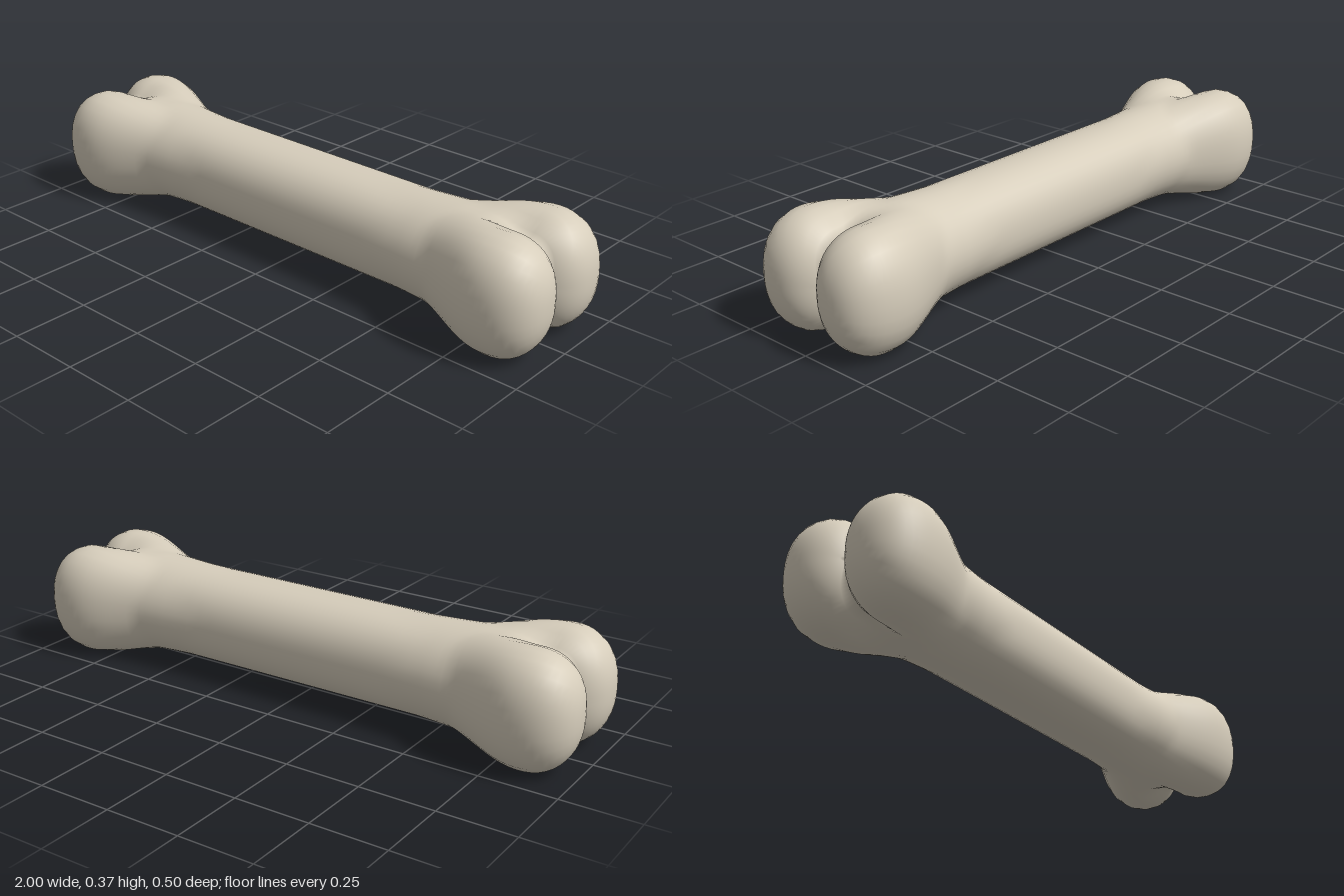
import * as THREE from 'three';
import { mergeVertices } from 'three/addons/utils/BufferGeometryUtils.js';

const END = 0.84;      // x of the knuckle centres
const MID_Y = 0.188;   // height of the bone's axis
const TIP = 0.16;      // how far the knuckles bulge past END
const SIDES = 40;

const { smoothstep, lerp } = THREE.MathUtils;

// True when a point (relative to the axis) lies in the shaft or one of the paired knuckles.
function inside(x, y, z) {
  const ax = Math.min(x, END), over = Math.max(0, x - END);

  // shaft: slim in the middle, fading out between the knuckles
  const flare = Math.min(1, (ax / 0.63) ** 2), fade = smoothstep(ax, 0.72, 0.9);
  const sy = lerp(0.15 + 0.02 * flare, 0.11, fade);
  const sz = lerp(0.145 + 0.033 * flare, 0.08, fade);
  if ((over / 0.08) ** 2 + (y / sy) ** 2 + (z / sz) ** 2 < 1) return true;

  // knuckles: spread apart and swell towards the end
  const t = smoothstep(ax, 0.52, END), n = 2.3;
  const c = 0.117 * t, w = lerp(0.155, 0.133, t), h = lerp(0.155, 0.188, t);
  return (over / TIP) ** n + (Math.abs(y) / h) ** n + (Math.abs(Math.abs(z) - c) / w) ** n < 1;
}

// Distance from an axis point to the surface along a direction.
function reach(x, d) {
  let lo = 0, hi = 0.4;
  for (let i = 0; i < 24; i++) {
    const r = (lo + hi) / 2;
    if (inside(x + d.x * r, d.y * r, d.z * r)) lo = r; else hi = r;
  }
  return lo;
}

function boneGeometry() {
  // stations of one half: straight rings along the shaft, then a fan of rings over the end
  const half = [];
  for (let i = 0; i <= 10; i++) half.push({ x: 0.5 * i / 10, tilt: 0 });
  for (let i = 1; i <= 14; i++) half.push({ x: lerp(0.5, END, i / 14), tilt: 0 });
  for (let i = 1; i <= 18; i++) half.push({ x: END, tilt: (i / 18) * Math.PI / 2 });
  const stations = [
    ...half.slice(1).reverse().map((s) => ({ ...s, side: -1 })),
    ...half.map((s) => ({ ...s, side: 1 })),
  ];

  const pos = [], index = [], d = new THREE.Vector3();
  stations.forEach(({ x, tilt, side }, i) => {
    for (let j = 0; j < SIDES; j++) {
      const a = (j / SIDES) * Math.PI * 2;
      d.set(Math.sin(tilt), Math.cos(tilt) * Math.cos(a), Math.cos(tilt) * Math.sin(a));
      const r = reach(x, d);
      pos.push(side * (x + d.x * r), MID_Y + d.y * r, d.z * r);
      if (i === stations.length - 1) continue;
      const k = (j + 1) % SIDES;
      const p = i * SIDES + j, q = i * SIDES + k;
      // skip the collapsed triangles at the two poles
      if (i > 0) index.push(p, q, p + SIDES);
      if (i < stations.length - 2) index.push(q, q + SIDES, p + SIDES);
    }
  });

  let geo = new THREE.BufferGeometry();
  geo.setAttribute('position', new THREE.Float32BufferAttribute(pos, 3));
  geo.setIndex(index);
  geo = mergeVertices(geo, 1e-5);
  geo.computeVertexNormals();
  return geo;
}

export function createModel() {
  const group = new THREE.Group();
  group.name = 'bone';
  const bone = new THREE.Mesh(boneGeometry(), new THREE.MeshStandardMaterial({ color: 0xd6cdbb }));
  bone.name = 'boneBody';
  group.add(bone);
  return group;
}
